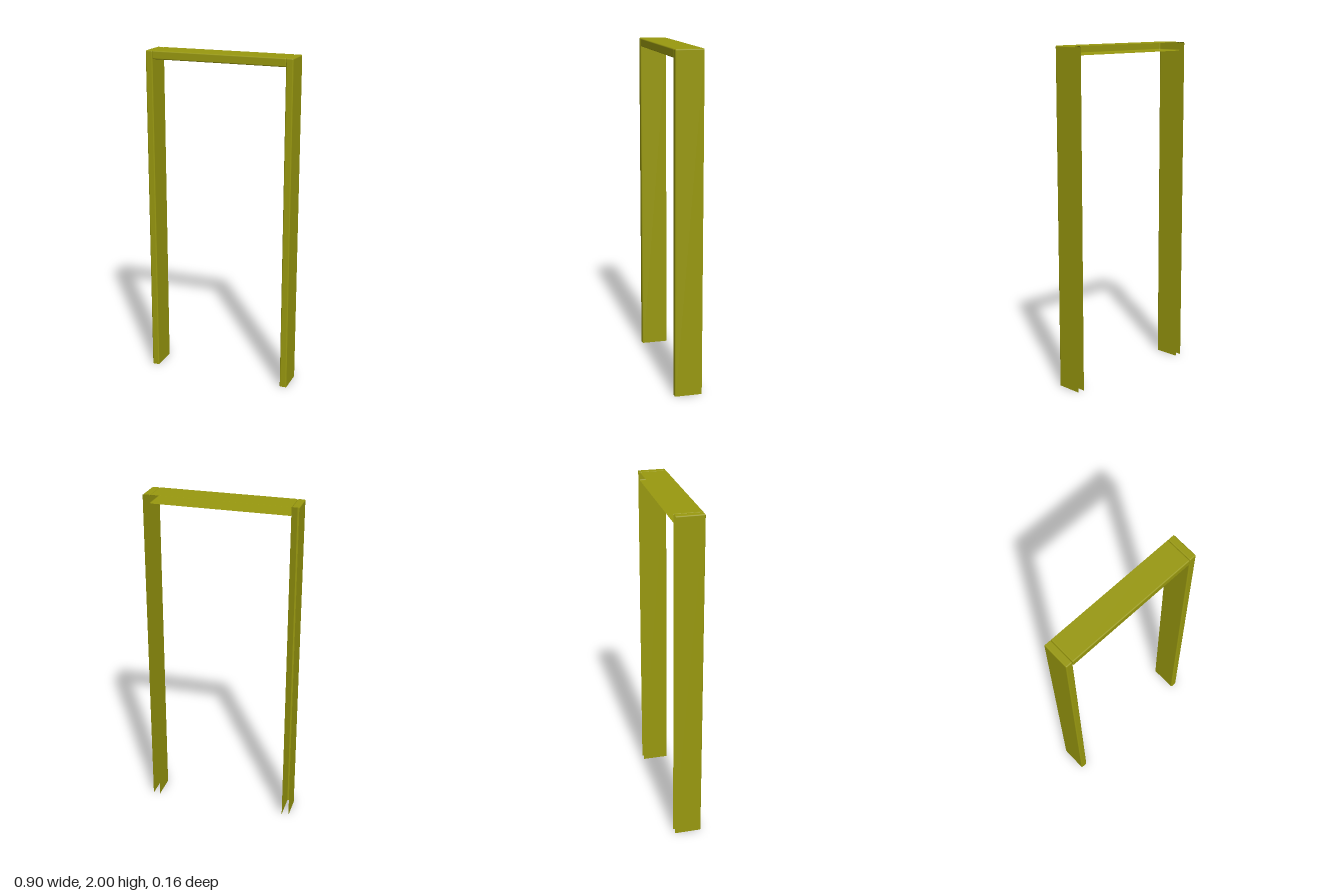
import * as THREE from 'three';
import { RoundedBoxGeometry } from 'three/addons/geometries/RoundedBoxGeometry.js';

const DEPTH = 0.162, HEIGHT = 2, RADIUS = 0.007;
const HALF_WIDTH = 0.449, POST_WIDTH = 0.043, BEAM_HEIGHT = 0.05;

// Hollow shell with rounded edges, cut open at the back and optionally at the bottom
function openShell(width, height, openBottom) {
  const r = RADIUS;
  const cutHeight = openBottom ? height + r : height;
  const source = new RoundedBoxGeometry(width, cutHeight, DEPTH + r, 3, r);
  source.translate(0, (height - cutHeight) / 2, -r / 2);
  const geometry = source.index ? source.toNonIndexed() : source;
  const pos = geometry.attributes.position, nor = geometry.attributes.normal;
  const points = [], normals = [];
  for (let i = 0; i < pos.count; i += 3) {
    const midZ = (pos.getZ(i) + pos.getZ(i + 1) + pos.getZ(i + 2)) / 3;
    const midY = (pos.getY(i) + pos.getY(i + 1) + pos.getY(i + 2)) / 3;
    // drop everything beyond the cut planes
    if (midZ < -DEPTH / 2 - 1e-5) continue;
    if (openBottom && midY < -height / 2 - 1e-5) continue;
    for (let k = i; k < i + 3; k++) {
      points.push(pos.getX(k), pos.getY(k), pos.getZ(k));
      normals.push(nor.getX(k), nor.getY(k), nor.getZ(k));
    }
  }
  const shell = new THREE.BufferGeometry();
  shell.setAttribute('position', new THREE.Float32BufferAttribute(points, 3));
  shell.setAttribute('normal', new THREE.Float32BufferAttribute(normals, 3));
  return shell;
}

export function createModel() {
  const group = new THREE.Group();
  group.name = 'doorFrame';
  const material = new THREE.MeshStandardMaterial({ color: 0x98980f, side: THREE.DoubleSide });

  // Upright posts, open at the back and foot
  const postGeometry = openShell(POST_WIDTH, HEIGHT, true);
  for (const [name, side] of [['leftPost', 1], ['rightPost', -1]]) {
    const post = new THREE.Mesh(postGeometry, material);
    post.name = name;
    post.position.set(side * (HALF_WIDTH - POST_WIDTH / 2), HEIGHT / 2, 0);
    group.add(post);
  }

  // Head beam between the posts, open at the back
  const beam = new THREE.Mesh(openShell(2 * (HALF_WIDTH - POST_WIDTH), BEAM_HEIGHT, false), material);
  beam.name = 'headBeam';
  beam.position.y = HEIGHT - BEAM_HEIGHT / 2;
  group.add(beam);

  return group;
}
